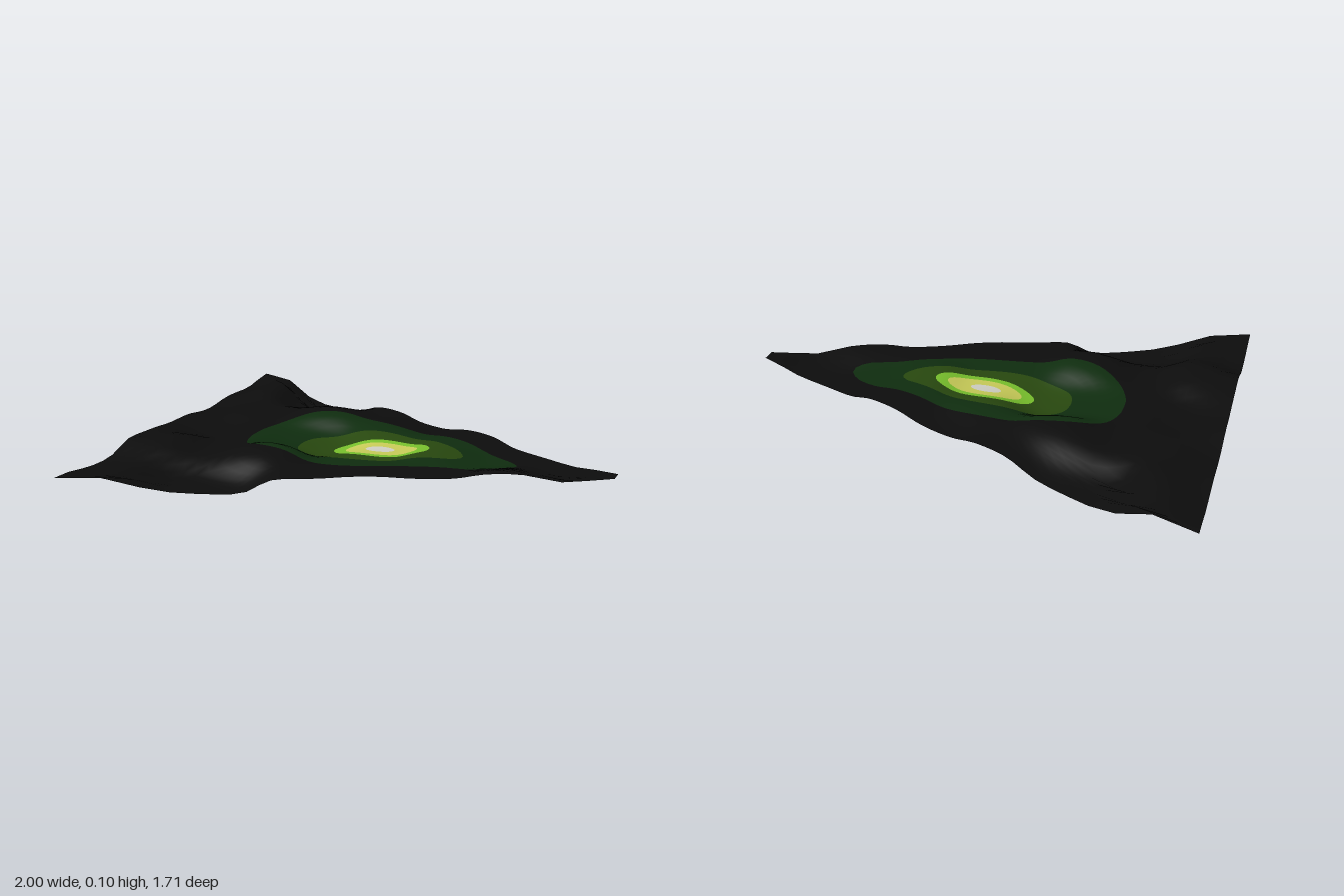
import * as THREE from 'three';

const paint = (name, color) => new THREE.MeshStandardMaterial({ name, color, side: THREE.DoubleSide });

// Known heights of the rippled sheet: [x, z, y]
const ripples = [
  [-1, .86, .065], [-1, .57, .03], [-1, .2, .075], [-1, -.09, .07], [-1, -.28, .025], [-1, -.48, .06], [-1, -.62, .03], [-1, -.85, .075],
  [-.85, .65, .07], [-.85, .35, .1], [-.85, 0, .04], [-.85, -.3, .07], [-.85, -.6, .1],
  [-.62, .62, .01], [-.6, .3, .055], [-.6, 0, .06], [-.6, -.3, .06], [-.62, -.64, 0],
  [-.45, .6, .0], [-.4, .3, .11], [-.4, 0, .04], [-.4, -.33, .11], [-.42, -.58, .01],
  [-.22, 0, .02], [-.12, .45, .067], [-.2, -.5, .075], [-.05, .2, .06], [-.05, -.2, .085], [0, 0, .055],
  [.1, .38, .08], [.1, -.38, .05], [.3, 0, .09], [.33, .28, .07], [.3, -.27, .085],
  [.45, 0, .045], [.62, .17, .096], [.62, -.17, .055], [.77, 0, .05], [1, 0, .077],
];

// Blend the known heights with soft round weights
function height(x, z) {
  let sum = 0, total = 0;
  for (const [px, pz, y] of ripples) {
    const w = Math.exp(-((x - px) ** 2 + (z - pz) ** 2) / 0.018) + 1e-9;
    sum += w * y;
    total += w;
  }
  return sum / total;
}

function normal(x, z) {
  const e = 0.01;
  return new THREE.Vector3(height(x - e, z) - height(x + e, z), 2 * e, height(x, z - e) - height(x, z + e)).normalize();
}

// Mirror a half outline (from +x round to -x) and smooth it into a closed loop
function blob(half) {
  const pts = half.concat(half.slice(1, -1).reverse().map(([x, z]) => [x, -z]));
  return new THREE.CatmullRomCurve3(pts.map(([x, z]) => new THREE.Vector3(x, 0, z)), true)
    .getPoints(120).slice(0, -1).map(p => [p.x, p.z]);
}

function ellipse(cx, rx, rz) {
  return Array.from({ length: 64 }, (_, i) => {
    const a = i / 64 * Math.PI * 2;
    return [cx + rx * Math.cos(a), rz * Math.sin(a)];
  });
}

// Distance from the middle to an outline along an angle
function reach(outline, angle) {
  const c = Math.cos(angle), s = Math.sin(angle);
  let best = 0;
  outline.forEach(([ax, az], i) => {
    const [bx, bz] = outline[(i + 1) % outline.length];
    const da = c * az - s * ax, db = c * bz - s * bx;
    if (da * db > 0 && Math.abs(da) > 1e-9 && Math.abs(db) > 1e-9) return;
    const t = Math.abs(da - db) < 1e-12 ? 0 : da / (da - db);
    best = Math.max(best, c * (ax + (bx - ax) * t) + s * (az + (bz - az) * t));
  });
  return best;
}

const edge = [[1, .03], [-1, .857], [-1, -.857], [1, -.03]];
const angles = Array.from({ length: 120 }, (_, i) => (i + .5) / 120 * Math.PI * 2 - Math.PI)
  .concat(edge.map(([x, z]) => Math.atan2(z, x)))
  .sort((a, b) => a - b);

// Ring of sheet between two outlines; no inner outline means a full patch
function band(inner, outer, steps) {
  const position = [], normals = [], index = [], n = angles.length;
  const lo = angles.map(a => inner ? reach(inner, a) : 0);
  const hi = angles.map(a => reach(outer, a));
  for (let k = 0; k <= steps; k++) {
    angles.forEach((a, i) => {
      const r = lo[i] + (hi[i] - lo[i]) * k / steps;
      const x = r * Math.cos(a), z = r * Math.sin(a);
      position.push(x, height(x, z), z);
      normals.push(...normal(x, z).toArray());
      if (k === steps) return;
      const p = k * n + i, q = k * n + (i + 1) % n;
      index.push(p, q, p + n, q, q + n, p + n);
    });
  }
  const g = new THREE.BufferGeometry();
  g.setAttribute('position', new THREE.Float32BufferAttribute(position, 3));
  g.setAttribute('normal', new THREE.Float32BufferAttribute(normals, 3));
  g.setIndex(index);
  return g;
}

export function createModel() {
  const group = new THREE.Group();
  group.name = 'rippledSheet';

  // Colour zones from the middle outwards
  const zones = [
    ['paleCentre', 0xd0d0c4, ellipse(.005, .065, .03), 2],
    ['yellowRing', 0xc8cc58, ellipse(.01, .16, .07), 3],
    ['limeRing', 0x78c02c, ellipse(.01, .213, .097), 2],
    ['oliveRing', 0x28480f, blob([[.37, 0], [.34, .05], [.24, .1], [.1, .145], [-.05, .17], [-.17, .165], [-.27, .13], [-.34, .08], [-.36, 0]]), 4],
    ['darkGreenRing', 0x0f2d0f, blob([[.6, 0], [.56, .06], [.45, .115], [.25, .19], [0, .265], [-.25, .295], [-.42, .26], [-.53, .175], [-.575, .07], [-.58, 0]]), 6],
    ['blackBorder', 0x0d0d0d, edge, 16],
  ];
  zones.forEach(([name, color, outline, steps], i) => {
    const mesh = new THREE.Mesh(band(i ? zones[i - 1][2] : null, outline, steps), paint(name + 'Paint', color));
    mesh.name = name;
    group.add(mesh);
  });
  return group;
}
